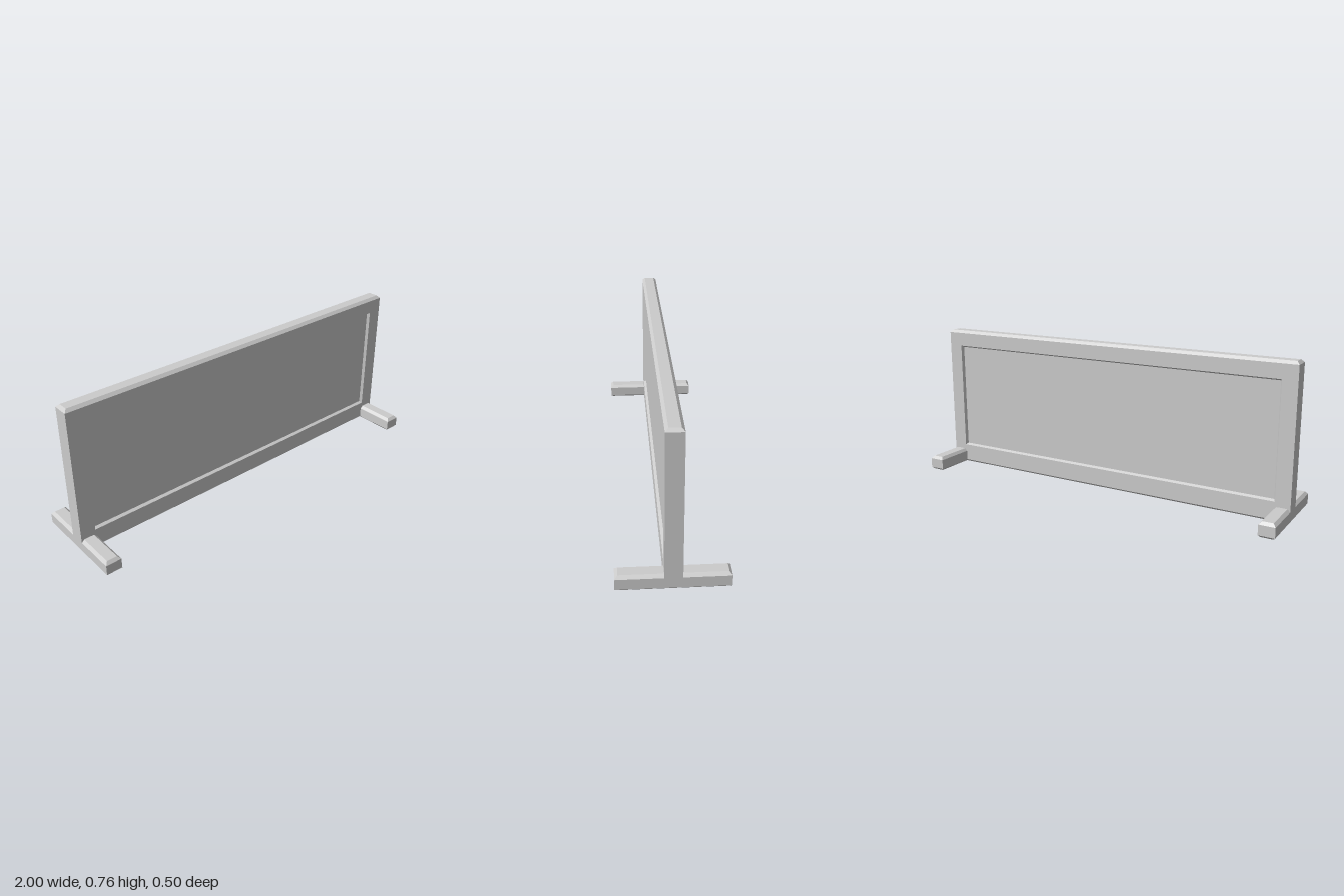
import * as THREE from 'three';

// Joins four-cornered loops with flat quads; skip(segment, side) leaves openings.
function loft(loops, { capStart = false, skip = () => false } = {}) {
  const pos = [];
  const quad = (a, b, c, d) => pos.push(...a, ...b, ...c, ...a, ...c, ...d);
  for (let s = 0; s < loops.length - 1; s++) {
    const a = loops[s], b = loops[s + 1];
    for (let i = 0; i < 4; i++) {
      const j = (i + 1) % 4;
      if (!skip(s, i)) quad(a[i], a[j], b[j], b[i]);
    }
  }
  quad(...loops[loops.length - 1]);
  if (capStart) quad(...[...loops[0]].reverse());
  const geo = new THREE.BufferGeometry();
  geo.setAttribute('position', new THREE.Float32BufferAttribute(pos, 3));
  geo.computeVertexNormals();
  return geo;
}

// Horizontal rectangle at height y
const level = (y, hx, hz) => [[-hx, y, hz], [hx, y, hz], [hx, y, -hz], [-hx, y, -hz]];
// Upright rectangle at depth z
const upright = (hx, y0, y1, z) => [[-hx, y0, z], [hx, y0, z], [hx, y1, z], [-hx, y1, z]];

// Block with a small chamfer below and a larger one above
const chamferedBlock = (hx, hz, h, skip) => loft([
  level(0, hx - 0.01, hz - 0.01),
  level(0.01, hx, hz),
  level(h - 0.014, hx, hz),
  level(h, hx - 0.014, hz - 0.014),
], { capStart: true, skip });

export function createModel() {
  const group = new THREE.Group();
  const grey = new THREE.MeshStandardMaterial({ color: 0xcccccc });
  grey.name = 'light grey';
  const add = (name, geo) => {
    const mesh = new THREE.Mesh(geo, grey);
    mesh.name = name;
    group.add(mesh);
    return mesh;
  };

  // Outer frame, left open at the front and back
  add('frame', chamferedBlock(1, 0.04, 0.765, (s, i) => s === 1 && i % 2 === 0));

  // Recessed panel with its bevelled surround, on both sides
  const face = loft([
    upright(1, 0.01, 0.751, 0.04),
    upright(0.925, 0.1, 0.679, 0.04),
    upright(0.917, 0.108, 0.671, 0.026),
  ]);
  add('frontPanel', face);
  add('backPanel', face).rotation.y = Math.PI;

  // Feet across each end
  const foot = chamferedBlock(0.04, 0.25, 0.075);
  for (const [name, x] of [['leftFoot', 0.96], ['rightFoot', -0.96]]) {
    add(name, foot).position.x = x;
  }
  return group;
}
